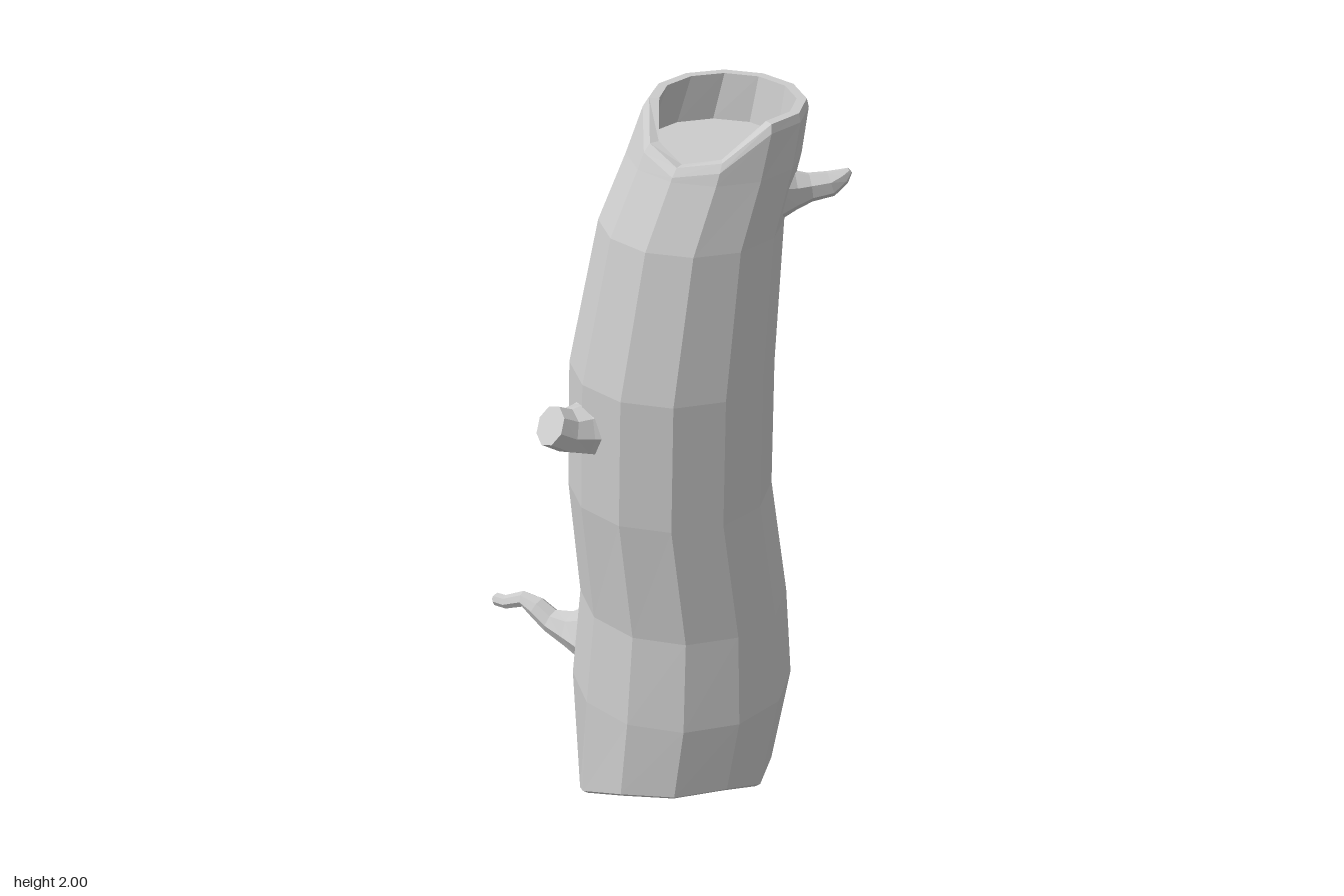
import * as THREE from 'three';

const bark = new THREE.MeshStandardMaterial({ color: 0xcccccc, flatShading: true });
const rad = Math.PI / 180;

// Trunk sections: y, then x range and z range
const sections = [
  [0.0, -0.245, 0.215, -0.135, 0.365],
  [0.15, -0.295, 0.245, -0.15, 0.385],
  [0.42, -0.28, 0.292, -0.163, 0.408],
  [0.67, -0.255, 0.275, -0.147, 0.39],
  [1.0, -0.287, 0.225, -0.135, 0.377],
  [1.34, -0.28, 0.225, -0.13, 0.375],
  [1.71, -0.2, 0.247, -0.1, 0.35],
  [1.87, -0.125, 0.295, -0.085, 0.335],
  [2.0, -0.07, 0.316, -0.075, 0.325],
];

// Columns round the trunk: angle from +x towards +z, bottom edge height, top edge height
const columns = [
  [0, 0.08, 2], [4, 0.155, 2], [24, 0.185, 2], [30, 0.14, 2], [60, 0.15, 2],
  [90, 0.205, 2], [120, 0.205, 1.92], [150, 0.19, 1.9], [180, 0.13, 1.93],
  [210, 0.04, 2], [240, 0.01, 2], [270, 0.0, 2], [300, 0.03, 2], [330, 0.05, 2],
];

function sectionAt(y) {
  let i = 0;
  while (i < sections.length - 2 && y > sections[i + 1][0]) i++;
  const a = sections[i], b = sections[i + 1];
  const t = (y - a[0]) / (b[0] - a[0]);
  return a.map((v, k) => v + (b[k] - v) * t);
}

// Point on the twelve-sided trunk, moved inward by inset
function trunkPoint(angle, y, inset = 0) {
  const [, x0, x1, z0, z1] = sectionAt(y);
  const mid = Math.floor(angle / 30) * 30 + 15;
  const chord = Math.cos(15 * rad) / Math.cos((angle - mid) * rad);
  return new THREE.Vector3(
    (x0 + x1) / 2 + ((x1 - x0) / 2 - inset) * chord * Math.cos(angle * rad),
    y,
    (z0 + z1) / 2 + ((z1 - z0) / 2 - inset) * chord * Math.sin(angle * rad)
  );
}

// Skin closed rings of points and close both ends with fans
function loft(name, rings) {
  const n = rings[0].length;
  const points = rings.flat();
  const index = [];
  for (let r = 0; r < rings.length - 1; r++) {
    for (let i = 0; i < n; i++) {
      const a = r * n + i, b = r * n + (i + 1) % n;
      index.push(a, a + n, b, b, a + n, b + n);
    }
  }
  [0, rings.length - 1].forEach((r, end) => {
    const centre = new THREE.Vector3();
    rings[r].forEach((p) => centre.addScaledVector(p, 1 / n));
    const c = points.push(centre) - 1;
    for (let i = 0; i < n; i++) {
      const a = r * n + i, b = r * n + (i + 1) % n;
      if (end) index.push(c, b, a);
      else index.push(c, a, b);
    }
  });
  const geometry = new THREE.BufferGeometry().setFromPoints(points);
  geometry.setIndex(index);
  const flat = geometry.toNonIndexed();
  flat.computeVertexNormals();
  const mesh = new THREE.Mesh(flat, bark);
  mesh.name = name;
  return mesh;
}

// Branch swept along stations of x, y, z, radius
function branch(name, stations, sides = 7) {
  const pts = stations.map((s) => new THREE.Vector3(s[0], s[1], s[2]));
  const rings = pts.map((p, i) => {
    const dir = pts[Math.min(i + 1, pts.length - 1)].clone()
      .sub(pts[Math.max(i - 1, 0)]).normalize();
    const side = new THREE.Vector3(0, 1, 0).cross(dir).normalize();
    const up = dir.clone().cross(side);
    return Array.from({ length: sides }, (_, k) => {
      const a = -k / sides * Math.PI * 2;
      return p.clone()
        .addScaledVector(side, Math.cos(a) * stations[i][3])
        .addScaledVector(up, Math.sin(a) * stations[i][3]);
    });
  });
  // Rings run clockwise about the path so that the skin faces outward
  return loft(name, rings);
}

export function createModel() {
  const model = new THREE.Group();
  model.name = 'hollowLog';

  // Trunk: recessed bottom, ragged rim, bark, notched top rim, recessed top
  const wall = 0.032;
  const ring = (height, inset) => columns.map((c) => trunkPoint(c[0], height(c), inset));
  const rings = [
    ring((c) => c[1] + 0.14, wall),
    ring((c) => c[1] + 0.012, wall),
    ring((c) => c[1], 0.012),
    ring((c) => c[1] + 0.012, 0),
    ...sections.slice(2, -1).map((s) => ring(() => s[0], 0)),
    ring((c) => c[2] - 0.02, 0),
    ring((c) => c[2], 0.008),
    ring((c) => c[2], wall),
    ring(() => 1.885, wall),
  ];
  model.add(loft('trunk', rings));

  // Short curved twig near the top
  model.add(branch('upperTwig', [
    [0.19, 1.78, 0.215, 0.085],
    [0.245, 1.78, 0.237, 0.05],
    [0.28, 1.785, 0.252, 0.036],
    [0.325, 1.792, 0.272, 0.032],
    [0.352, 1.81, 0.285, 0.02],
    [0.366, 1.824, 0.291, 0.008],
  ]));

  // Thick broken stub at mid height
  model.add(branch('sideStub', [
    [-0.23, 1.215, 0.117, 0.085],
    [-0.28, 1.217, 0.117, 0.066],
    [-0.325, 1.225, 0.118, 0.056],
    [-0.368, 1.25, 0.119, 0.052],
  ], 8));

  // Long crooked twig low on the back
  model.add(branch('backTwig', [
    [-0.09, 0.445, -0.07, 0.125],
    [-0.125, 0.44, -0.14, 0.078],
    [-0.155, 0.435, -0.19, 0.05],
    [-0.187, 0.445, -0.24, 0.034],
    [-0.208, 0.472, -0.28, 0.03],
    [-0.228, 0.485, -0.315, 0.022],
    [-0.255, 0.457, -0.365, 0.019],
    [-0.27, 0.455, -0.395, 0.018],
    [-0.274, 0.456, -0.404, 0.008],
  ]));

  return model;
}
